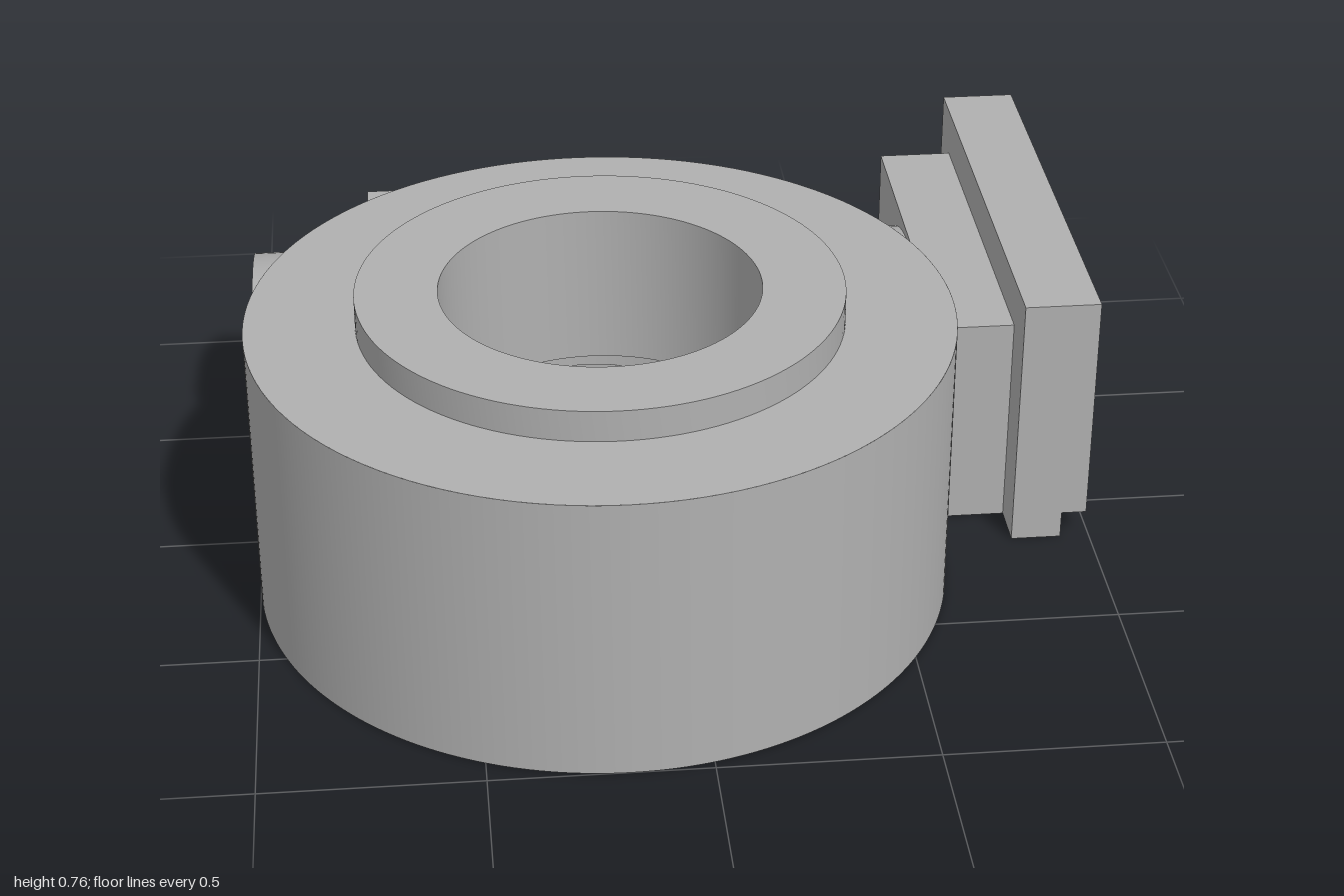
import * as THREE from 'three';
import { toCreasedNormals } from 'three/addons/utils/BufferGeometryUtils.js';

const CX = -0.185, CZ = 0.185;          // wheel axis (vertical)
const AZ = -0.42, AY = 0.067;           // worm axis (along x)
const RING = 0.815, CAVITY = 0.49, CEILING = 0.37;
const BODY = 0.445, TROUGH = 0.24, POCKET = 0.33, BORE = 0.222;
const SEG = 128;

// Arch outline in (-z, y), from the back foot over the top to the front foot
function arch(r, y0 = 0) {
  const pts = [new THREE.Vector2(-AZ + r, y0)];
  for (let i = 0; i <= 40; i++) {
    const a = (Math.PI * i) / 40;
    pts.push(new THREE.Vector2(-AZ + r * Math.cos(a), AY + r * Math.sin(a)));
  }
  pts.push(new THREE.Vector2(-AZ - r, y0));
  return pts;
}

// Extrude a (-z, y) outline along x
function extrudeX(pts, x0, x1) {
  const g = new THREE.ExtrudeGeometry(new THREE.Shape(pts), { depth: x1 - x0, bevelEnabled: false });
  g.rotateY(Math.PI / 2).translate(x0, 0, 0);
  return toCreasedNormals(g, 0.5);
}

// Block outline with an arched opening at its foot
function blockOutline(z0, z1, y0, y1, r) {
  const rect = [[-z1, y0], [-z1, y1], [-z0, y1], [-z0, y0]].map(p => new THREE.Vector2(...p));
  return [...rect, ...arch(r, y0)];
}

// Grid surface from rows of points
function surface(rows, flip) {
  const pos = [], idx = [], n = rows[0].length;
  rows.forEach(r => r.forEach(p => pos.push(...p)));
  for (let i = 0; i < rows.length - 1; i++)
    for (let j = 0; j < n - 1; j++) {
      const a = i * n + j, b = a + 1, c = a + n, d = c + 1;
      if (flip) idx.push(a, c, b, b, c, d);
      else idx.push(a, b, c, b, d, c);
    }
  const g = new THREE.BufferGeometry();
  g.setAttribute('position', new THREE.Float32BufferAttribute(pos, 3));
  g.setIndex(idx);
  g.computeVertexNormals();
  return g;
}

// Vertical round wall that stops where it meets an arched tunnel of radius r
function clippedWall(R, top, r, inward) {
  const low = [], high = [];
  for (let i = 0; i <= SEG * 2; i++) {
    const a = (Math.PI * i) / SEG;
    const x = CX + R * Math.sin(a), z = CZ + R * Math.cos(a), d = z - AZ;
    low.push([x, Math.abs(d) < r ? AY + Math.sqrt(r * r - d * d) : 0, z]);
    high.push([x, top, z]);
  }
  return surface([low, high], inward);
}

// One side of an arched tunnel, trimmed where it meets a vertical cylinder of radius R
function clippedArch(r, R, xEnd, inward) {
  const side = Math.sign(xEnd - CX);
  const near = [], far = [];
  for (const p of arch(r)) {
    const z = -p.x, s = Math.sqrt(Math.max(0, R * R - (z - CZ) ** 2));
    near.push([CX + side * Math.min(s, Math.abs(xEnd - CX)), p.y, z]);
    far.push([xEnd, p.y, z]);
  }
  return surface([near, far], (side > 0) !== inward);
}

// Points of a wheel circle from the right crossing of line z, round the front, to the left one
function frontArc(R, z) {
  const a0 = Math.asin((z - CZ) / R), pts = [];
  for (let i = 0; i <= 96; i++) {
    const a = a0 + ((Math.PI - 2 * a0) * i) / 96;
    pts.push([CX + R * Math.cos(a), CZ + R * Math.sin(a)]);
  }
  return pts;
}

export function createModel() {
  const model = new THREE.Group();
  const grey = new THREE.MeshStandardMaterial({ color: 0xb0b0b0, side: THREE.DoubleSide });
  grey.name = 'castGrey';
  const add = (name, geometry) => {
    const m = new THREE.Mesh(geometry, grey);
    m.name = name;
    model.add(m);
    return m;
  };

  // Wheel housing: top, raised boss, through bore and cavity ceiling
  const profile = [[RING, 0.69], [0.56, 0.69], [0.56, 0.765], [0.37, 0.765], [0.37, CEILING], [CAVITY, CEILING]];
  const top = new THREE.LatheGeometry(profile.map(p => new THREE.Vector2(...p)), SEG);
  add('wheelHousingTop', toCreasedNormals(top, 0.5)).position.set(CX, 0, CZ);
  add('wheelHousingWall', clippedWall(RING, 0.69, BODY, false));
  add('wheelCavityWall', clippedWall(CAVITY, CEILING, TROUGH, true));

  // Worm housing: middle shell and trough, trimmed by the wheel housing
  for (const x of [-0.69, 0.51]) {
    add('wormHousingShell', clippedArch(BODY, RING, x, false));
    add('wormTrough', clippedArch(TROUGH, CAVITY, x, true));
  }

  // Worm housing ends: closed wall, bearing pocket, shoulder and shaft bore
  const body = arch(BODY);
  const hollow = r => [...body, ...arch(r).reverse()];
  add('wormEndWall', extrudeX(body, -1, -0.845));
  add('bearingPocket', extrudeX(hollow(POCKET), -0.845, -0.7));
  add('bearingShoulder', extrudeX(hollow(TROUGH), -0.7, -0.68));
  add('shaftBore', extrudeX(hollow(0.205), 0.5, 0.63));

  // Neck and mounting flange
  add('flangeNeck', extrudeX(blockOutline(-0.89, 0.04, 0, 0.53, BORE), 0.63, 0.81));
  add('flange', extrudeX(blockOutline(-1, 0.155, 0, 0.64, BORE), 0.81, 0.93));
  add('flangeLip', extrudeX(blockOutline(-1, 0.155, 0.067, 0.64, BORE), 0.93, 0.99));

  // Cooling fins
  const fin = [[0.98, 0], [0.98, 0.443], [0.655, 0.443], [0.8, 0]].map(p => new THREE.Vector2(...p));
  for (let i = 0; i < 5; i++) {
    const x = -0.675 + i * 0.2437;
    add('coolingFin', extrudeX(fin, x - 0.04, x + 0.04));
  }

  // Flat split face underneath, open along the worm and wheel spaces
  const f = AZ + TROUGH, b = AZ - TROUGH;
  const outline = [
    [0.93, AZ + BORE], [0.93, 0.155], [0.81, 0.155], [0.81, 0.04], [0.63, 0.04], [0.63, 0.025],
    ...frontArc(RING, 0.025),
    [-1, 0.025], [-1, AZ - BODY], [0.63, AZ - BODY], [0.63, -0.89], [0.81, -0.89], [0.81, -1], [0.93, -1],
    [0.93, AZ - BORE], [0.63, AZ - BORE], [0.63, AZ - 0.205], [0.5, AZ - 0.205], [0.5, b], [-0.7, b],
    [-0.7, AZ - POCKET], [-0.845, AZ - POCKET], [-0.845, AZ + POCKET], [-0.7, AZ + POCKET], [-0.7, f],
    ...frontArc(CAVITY, f).reverse(),
    [0.5, f], [0.5, AZ + 0.205], [0.63, AZ + 0.205], [0.63, AZ + BORE],
  ];
  const face = new THREE.ShapeGeometry(new THREE.Shape(outline.map(p => new THREE.Vector2(...p))));
  add('splitFace', face.rotateX(Math.PI / 2));

  return model;
}
